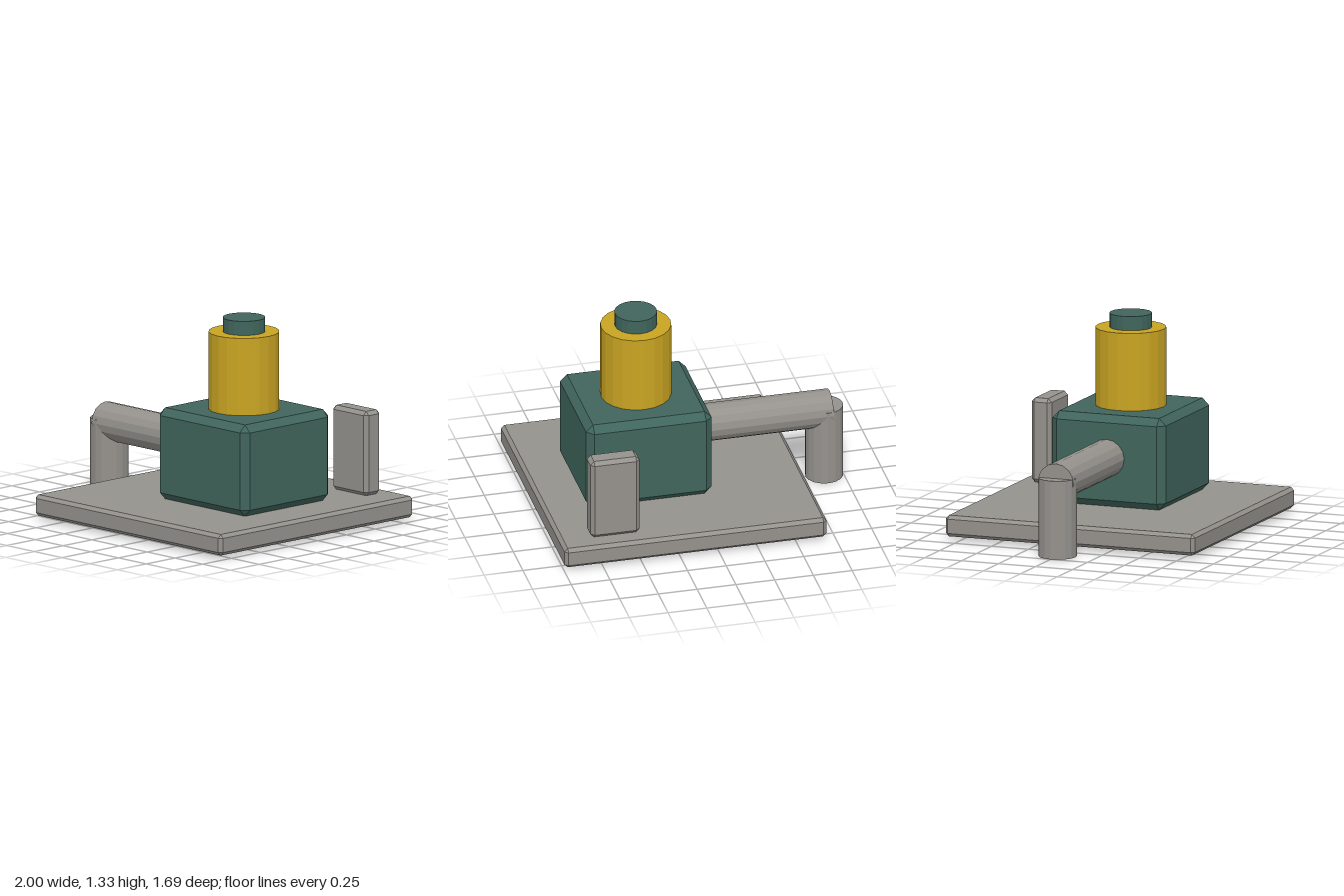
import * as THREE from 'three';
import { ConvexGeometry } from 'three/addons/geometries/ConvexGeometry.js';

function material(name, color) {
  const m = new THREE.MeshStandardMaterial({ color });
  m.name = name;
  return m;
}

// Box with every edge cut by a flat chamfer c, given by its limits on each axis
function chamferBox([x0, x1], [y0, y1], [z0, z1], c) {
  const half = [(x1 - x0) / 2, (y1 - y0) / 2, (z1 - z0) / 2];
  const points = [];
  for (const sx of [-1, 1]) for (const sy of [-1, 1]) for (const sz of [-1, 1]) {
    for (let face = 0; face < 3; face++) {
      const [x, y, z] = half.map((h, axis) => (axis === face ? h : h - c));
      points.push(new THREE.Vector3(sx * x, sy * y, sz * z));
    }
  }
  return new ConvexGeometry(points).translate((x0 + x1) / 2, (y0 + y1) / 2, (z0 + z1) / 2);
}

// Faceted upright cylinder standing between two heights
function drum(radius, y0, y1, x, sides = 20) {
  return new THREE.CylinderGeometry(radius, radius, y1 - y0, sides)
    .toNonIndexed()
    .translate(x, (y0 + y1) / 2, 0);
}

export function createModel() {
  const model = new THREE.Group();
  model.name = 'valveUnit';

  const grey = material('grey metal', 0x95928d);
  const green = material('dark green', 0x40655c);
  const yellow = material('yellow', 0xc9a422);
  for (const m of [grey, green, yellow]) m.flatShading = true;

  function add(name, geometry, mat) {
    const mesh = new THREE.Mesh(geometry, mat);
    mesh.name = name;
    model.add(mesh);
  }

  // Base, housing and rear upright plate
  add('basePlate', chamferBox([-0.69, 1], [0.025, 0.16], [-0.843, 0.843], 0.022), grey);
  add('housing', chamferBox([-0.07, 0.74], [0.16, 0.745], [-0.383, 0.383], 0.045), green);
  add('rearPlate', chamferBox([0.49, 0.807], [0.16, 0.7], [-0.742, -0.607], 0.024), grey);

  // Stacked drum and cap
  add('drum', drum(0.223, 0.74, 1.24, 0.335), yellow);
  add('drumCap', drum(0.134, 1.22, 1.33, 0.335), green);

  // Outlet pipe and its downward leg
  const pipe = new THREE.CylinderGeometry(0.12, 0.12, 0.915, 16)
    .rotateZ(Math.PI / 2)
    .translate(-0.4575, 0.475, 0);
  add('outletPipe', pipe, grey);
  add('outletLeg', drum(0.12, 0, 0.5, -0.88, 16), grey);

  return model;
}
